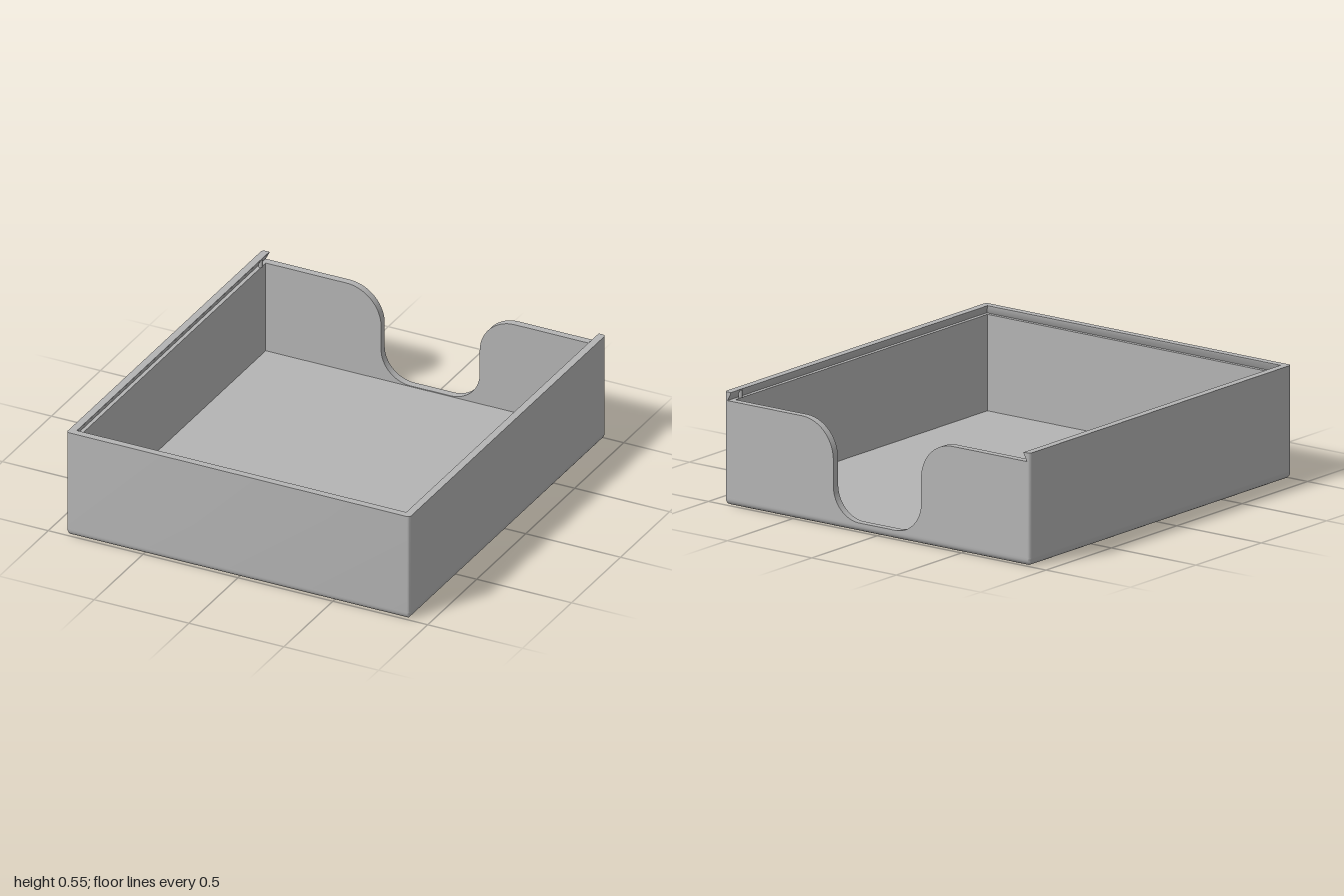
import * as THREE from 'three';
import { toCreasedNormals } from 'three/addons/utils/BufferGeometryUtils.js';

const W = 0.905, D = 1, H = 0.55;      // half width, half depth, height
const R = 0.015, FILLET = 0.03;        // vertical corner and bottom edge radii
const T = 0.037, FLOOR = 0.04, LEDGE = 0.508;
const SEG = 4;

// Rounded rectangle inset by d, as [x, z] pairs, starting at the back +x corner.
// With openBack the inner rings run straight out through the back.
function ring(d, openBack) {
  const pts = [];
  [[1, -1], [1, 1], [-1, 1], [-1, -1]].forEach(([sx, sz], c) => {
    const r = Math.max(0, R - d);
    for (let i = 0; i <= SEG; i++) {
      const a = (c - 1 + i / SEG) * Math.PI / 2;
      if (openBack && sz < 0 && d > 0) pts.push([sx * (W - Math.max(d, R)), -D]);
      else pts.push([sx * (W - d - r) + r * Math.cos(a), sz * (D - d - r) + r * Math.sin(a)]);
    }
  });
  return pts;
}

// Collects triangles, dropping those without area.
function mesher() {
  const pos = [];
  return {
    tri(a, b, c) {
      const [p, q, r] = [a, b, c].map(v => new THREE.Vector3(...v));
      if (q.sub(p).cross(r.sub(p)).length() > 1e-9) pos.push(...a, ...b, ...c);
    },
    band(lo, hi, closed) {
      for (let i = 0; i < lo.length - (closed ? 0 : 1); i++) {
        const j = (i + 1) % lo.length;
        this.tri(lo[i], hi[i], lo[j]);
        this.tri(lo[j], hi[i], hi[j]);
      }
    },
    build() {
      const g = new THREE.BufferGeometry();
      g.setAttribute('position', new THREE.Float32BufferAttribute(pos, 3));
      return toCreasedNormals(g, 0.6);
    },
  };
}

// Floor slab with a rounded bottom edge
function floorGeometry() {
  const m = mesher();
  const level = (d, y) => ring(d, false).map(([x, z]) => [x, y, z]);
  const centre = (y) => ring(0, false).map(() => [0, y, 0]);
  const levels = [centre(0)];
  for (let i = 0; i <= 5; i++) {
    const a = i / 5 * Math.PI / 2;
    levels.push(level(FILLET * (1 - Math.sin(a)), FILLET * (1 - Math.cos(a))));
  }
  levels.push(level(0, FLOOR), centre(FLOOR));
  for (let i = 0; i < levels.length - 1; i++) m.band(levels[i], levels[i + 1], true);
  return m.build();
}

// Side and front walls in one U, with an undercut lid groove below the rim
function wallGeometry() {
  const m = mesher();
  const profile = [[0, FLOOR], [0, H], [T, H], [T, H - 0.006], [0.018, LEDGE], [T, LEDGE], [T, FLOOR]];
  const lines = profile.map(([d, y]) => ring(d, true).map(([x, z]) => [x, y, z]));
  lines.forEach((line, i) => m.band(line, lines[(i + 1) % lines.length], false));
  // end caps at the back
  const outline = profile.map(([d, y]) => new THREE.Vector2(W - Math.max(d, R), y));
  for (const s of [1, -1]) {
    for (const f of THREE.ShapeUtils.triangulateShape(outline, [])) {
      const [a, b, c] = f.map(i => [s * outline[i].x, outline[i].y, -D]);
      const nz = (b[0] - a[0]) * (c[1] - a[1]) - (b[1] - a[1]) * (c[0] - a[0]);
      if (nz < 0) m.tri(a, b, c); else m.tri(a, c, b);
    }
  }
  return m.build();
}

// Low back wall with a curved thumb notch
function backGeometry() {
  const w = W - T, x = 0.26, r = 0.185, q = 0.155, base = FLOOR + 0.004;
  const s = new THREE.Shape();
  s.moveTo(-w, FLOOR);
  s.lineTo(w, FLOOR);
  s.lineTo(w, LEDGE);
  s.lineTo(x + r, LEDGE);
  s.absarc(x + r, LEDGE - r, r, Math.PI / 2, Math.PI, false);
  s.lineTo(x, base + q);
  s.absarc(x - q, base + q, q, 0, -Math.PI / 2, true);
  s.lineTo(q - x, base);
  s.absarc(q - x, base + q, q, -Math.PI / 2, -Math.PI, true);
  s.lineTo(-x, LEDGE - r);
  s.absarc(-x - r, LEDGE - r, r, 0, Math.PI / 2, false);
  s.lineTo(-w, LEDGE);
  s.closePath();
  const g = new THREE.ExtrudeGeometry(s, { depth: T, bevelEnabled: false, curveSegments: 16 });
  g.translate(0, 0, -D);
  return toCreasedNormals(g, 0.6);
}

export function createModel() {
  const group = new THREE.Group();
  group.name = 'slidingLidTray';
  const grey = new THREE.MeshStandardMaterial({ color: 0xb4b4b4 });
  grey.name = 'grey';
  const add = (name, geometry) => {
    const mesh = new THREE.Mesh(geometry, grey);
    mesh.name = name;
    group.add(mesh);
    return mesh;
  };
  add('floor', floorGeometry());
  add('sideAndFrontWalls', wallGeometry());
  add('notchedBackWall', backGeometry());
  // small lid catches in the side grooves
  for (const s of [1, -1]) {
    add(s > 0 ? 'leftCatch' : 'rightCatch', new THREE.CylinderGeometry(0.01, 0.01, H - LEDGE - 0.004, 16))
      .position.set(s * (W - 0.033), (H + LEDGE) / 2 - 0.002, -0.92);
  }
  return group;
}
